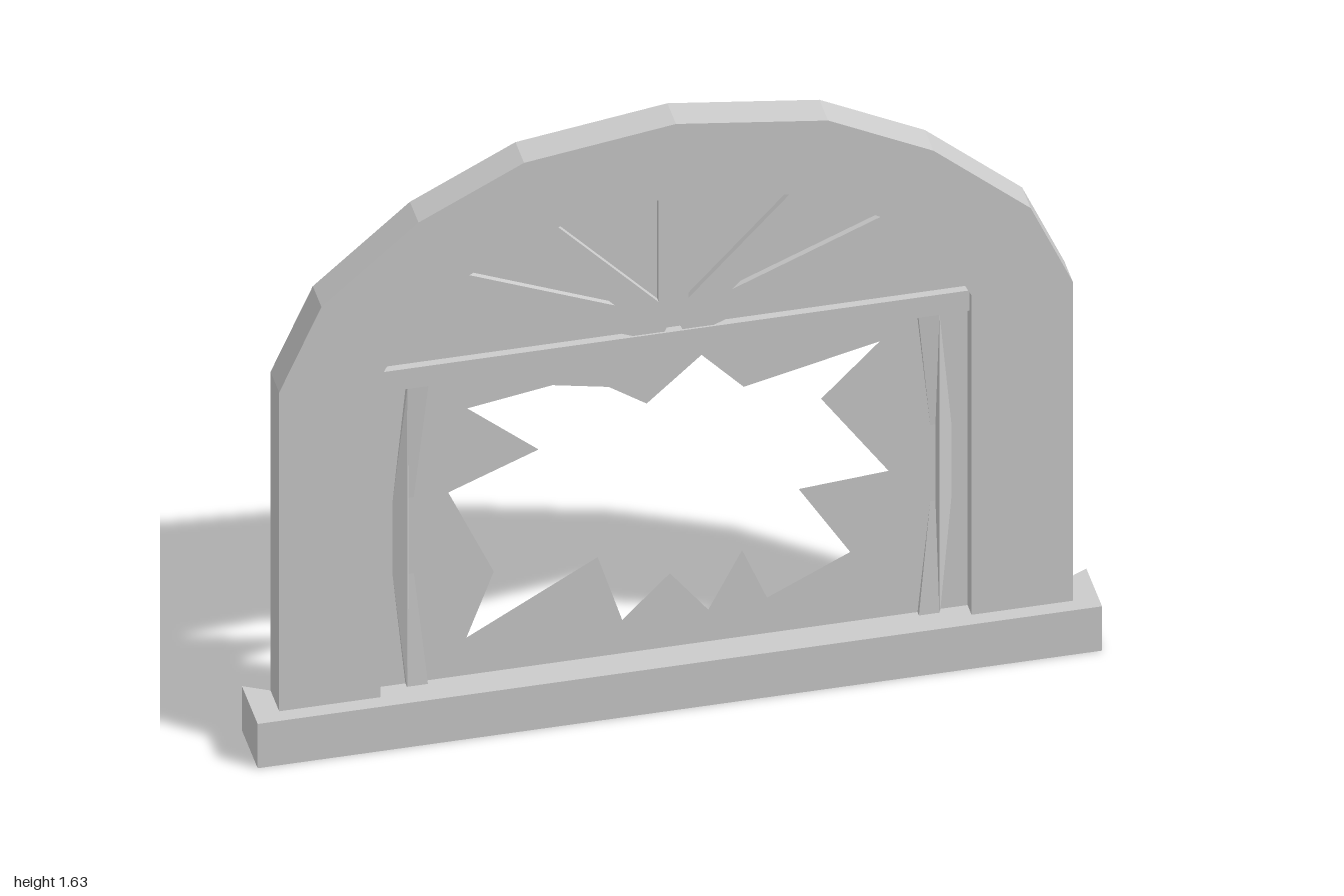
import * as THREE from 'three';
import { mergeGeometries } from 'three/addons/utils/BufferGeometryUtils.js';

const material = new THREE.MeshStandardMaterial({ color: 0xcccccc, flatShading: true, side: THREE.DoubleSide });
const toShape = (pts) => new THREE.Shape(pts.map(([x, y]) => new THREE.Vector2(x, y)));
// full outline from its right half, listed bottom to top, last point on the axis
const mirrored = (half) => [...half, ...half.slice(0, -1).reverse().map(([x, y]) => [-x, y])];

function part(name, geometry) {
  const mesh = new THREE.Mesh(geometry, material);
  mesh.name = name;
  return mesh;
}

// Strip that follows an x/y path and runs from z0 to z1
function band(pts, z0, z1, closed = false) {
  const position = [];
  const path = closed ? [...pts, pts[0]] : pts;
  for (let i = 0; i < path.length - 1; i++) {
    const [ax, ay] = path[i], [bx, by] = path[i + 1];
    position.push(ax, ay, z0, ax, ay, z1, bx, by, z1, ax, ay, z0, bx, by, z1, bx, by, z0);
  }
  const g = new THREE.BufferGeometry();
  g.setAttribute('position', new THREE.Float32BufferAttribute(position, 3));
  g.computeVertexNormals();
  return g;
}

// Flat face at depth z, with optional holes
function face(pts, z, holes = []) {
  const shape = toShape(pts);
  shape.holes = holes.map(toShape);
  const g = new THREE.ShapeGeometry(shape).toNonIndexed();
  g.deleteAttribute('uv');
  return g.translate(0, 0, z);
}

// Member with a front and sides, open at the back
const channel = (pts, front, back) => mergeGeometries([face(pts, front), band(pts, front, back, true)]);

export function createModel() {
  const group = new THREE.Group();
  const sillTop = 0.125, sillZ = 0.0775, wallFront = 0.04, wallBack = -0.045;
  const barFront = 0.015, barBack = -0.03;

  // Arched surround: a shell open at the back
  const outer = mirrored([[0.94, sillTop], [0.94, 1.025], [0.84, 1.25], [0.61, 1.45], [0.36, 1.577], [0, 1.627]]);
  const inner = mirrored([[0.7, sillTop], [0.7, 1.027], [0.645, 1.13], [0.515, 1.267], [0.32, 1.376], [0, 1.425]]);
  group.add(part('archWall', face([...outer, ...[...inner].reverse()], wallFront)));
  group.add(part('archRim', band(outer, wallFront, wallBack)));
  group.add(part('openingReveal', band(inner, wallFront, barBack, true)));

  // Sill: front, ends, floor and a ledge notched round the wall
  const ledge = face([[-1, -sillZ], [1, -sillZ], [1, sillZ], [0.94, -wallBack], [0.94, -wallFront],
    [-0.94, -wallFront], [-0.94, -wallBack], [-1, sillZ]], 0).rotateX(-Math.PI / 2).translate(0, sillTop, 0);
  const sillPath = [[-1, sillTop], [-1, 0], [1, 0], [1, sillTop]];
  group.add(part('sill', mergeGeometries([face(sillPath, sillZ), band(sillPath, sillZ, -sillZ), ledge])));

  // Broken pane
  const hole = [[-0.485, 0.877], [-0.283, 0.909], [-0.15, 0.882], [-0.06, 0.82], [0.07, 0.936], [0.17, 0.829],
    [0.492, 0.904], [0.353, 0.765], [0.513, 0.535], [0.3, 0.519], [0.422, 0.321], [0.225, 0.225], [0.166, 0.369],
    [0.086, 0.214], [-0.005, 0.332], [-0.118, 0.219], [-0.176, 0.406], [-0.487, 0.23], [-0.422, 0.406],
    [-0.53, 0.647], [-0.316, 0.733]];
  group.add(part('brokenPane', face(mirrored([[0.72, 0.09], [0.72, 1.35], [0, 1.45]]), 0, [hole])));

  // Fan of spokes above the transom
  for (const degrees of [22.5, 46.5, 90, 133.5, 157.5]) {
    const length = degrees === 90 ? 0.57 : 0.63;
    const spoke = part('fanSpoke', channel([[0.02, -0.035], [length, -0.035], [length, 0.035], [0.02, 0.035]], barFront, barBack));
    spoke.position.y = 1.025;
    spoke.rotation.z = THREE.MathUtils.degToRad(degrees);
    group.add(spoke);
  }

  // Transom
  group.add(part('transom', channel([[-0.72, 0.97], [0.72, 0.97], [0.72, 1.027], [-0.72, 1.027]], barFront + 0.005, barBack - 0.005)));

  // Side bars, bowed outwards and sinking into the pane at mid height
  for (const s of [-1, 1]) {
    const bar = channel([[0.58, 0.11], [0.63, 0.11], [0.672, 0.54], [0.63, 0.97], [0.58, 0.97], [0.622, 0.54]]
      .map(([x, y]) => [s * x, y]), barFront, barBack);
    const p = bar.attributes.position;
    for (let i = 0; i < p.count; i++) {
      if (p.getZ(i) > 0) p.setZ(i, barFront - 0.02 * (1 - Math.abs(p.getY(i) - 0.54) / 0.43));
    }
    bar.computeVertexNormals();
    group.add(part(s > 0 ? 'leftSideBar' : 'rightSideBar', bar));
  }
  return group;
}
